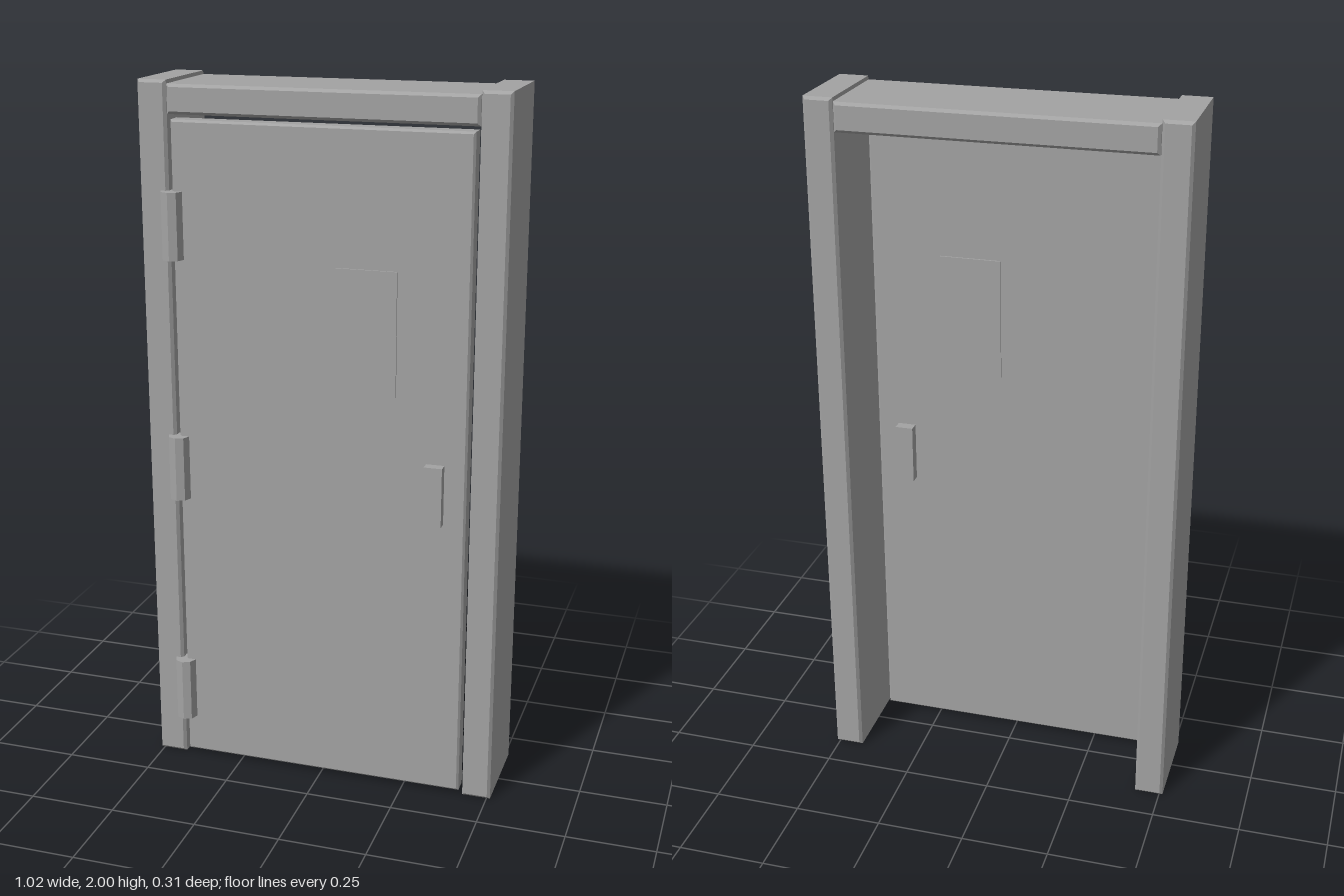
import * as THREE from 'three';

const grey = new THREE.MeshStandardMaterial({ color: 0xa3a3a3 });
grey.name = 'grey';
grey.flatShading = true;

// Box between two corners, with a single chamfer of size b on every edge
function chamferBox(name, [x0, y0, z0], [x1, y1, z1], b) {
  const s = new THREE.Shape();
  s.moveTo(x0 + b, y0 + b);
  s.lineTo(x1 - b, y0 + b);
  s.lineTo(x1 - b, y1 - b);
  s.lineTo(x0 + b, y1 - b);
  s.closePath();
  const geo = new THREE.ExtrudeGeometry(s, {
    depth: z1 - z0 - 2 * b, bevelEnabled: true, bevelSegments: 1, bevelSize: b, bevelThickness: b,
  });
  geo.translate(0, 0, z0 + b);
  const mesh = new THREE.Mesh(geo, grey);
  mesh.name = name;
  return mesh;
}

// Plain box between two corners
function box(name, [x0, y0, z0], [x1, y1, z1]) {
  const mesh = new THREE.Mesh(new THREE.BoxGeometry(x1 - x0, y1 - y0, z1 - z0), grey);
  mesh.position.set((x0 + x1) / 2, (y0 + y1) / 2, (z0 + z1) / 2);
  mesh.name = name;
  return mesh;
}

export function createModel() {
  const model = new THREE.Group();
  model.name = 'door';
  const back = -0.157, front = 0.125, doorBack = 0.07;

  // Frame: two jambs and a lintel
  model.add(
    chamferBox('leftJamb', [0.428, 0, back], [0.51, 2, front], 0.008),
    chamferBox('rightJamb', [-0.51, 0, back], [-0.428, 2, front], 0.008),
    chamferBox('lintel', [-0.427, 1.91, back], [0.427, 1.99, front], 0.008),
  );

  // Door leaf, flush with the front of the frame
  model.add(chamferBox('doorLeaf', [-0.417, 0.013, doorBack], [0.417, 1.897, front], 0.006));

  // Window plate and handle, showing on both sides of the leaf
  model.add(
    box('windowPlate', [0.043, 1.18, doorBack - 0.005], [0.217, 1.525, front + 0.005]),
    box('handle', [0.304, 0.83, doorBack - 0.03], [0.355, 1.0, front + 0.028]),
  );

  // Three octagonal hinge barrels
  const hingeGeo = new THREE.CylinderGeometry(0.031, 0.031, 0.187, 8);
  [0.22, 0.917, 1.612].forEach((y, i) => {
    const hinge = new THREE.Mesh(hingeGeo, grey);
    hinge.position.set(-0.419, y, front);
    hinge.name = `hinge${i + 1}`;
    model.add(hinge);
  });

  return model;
}
